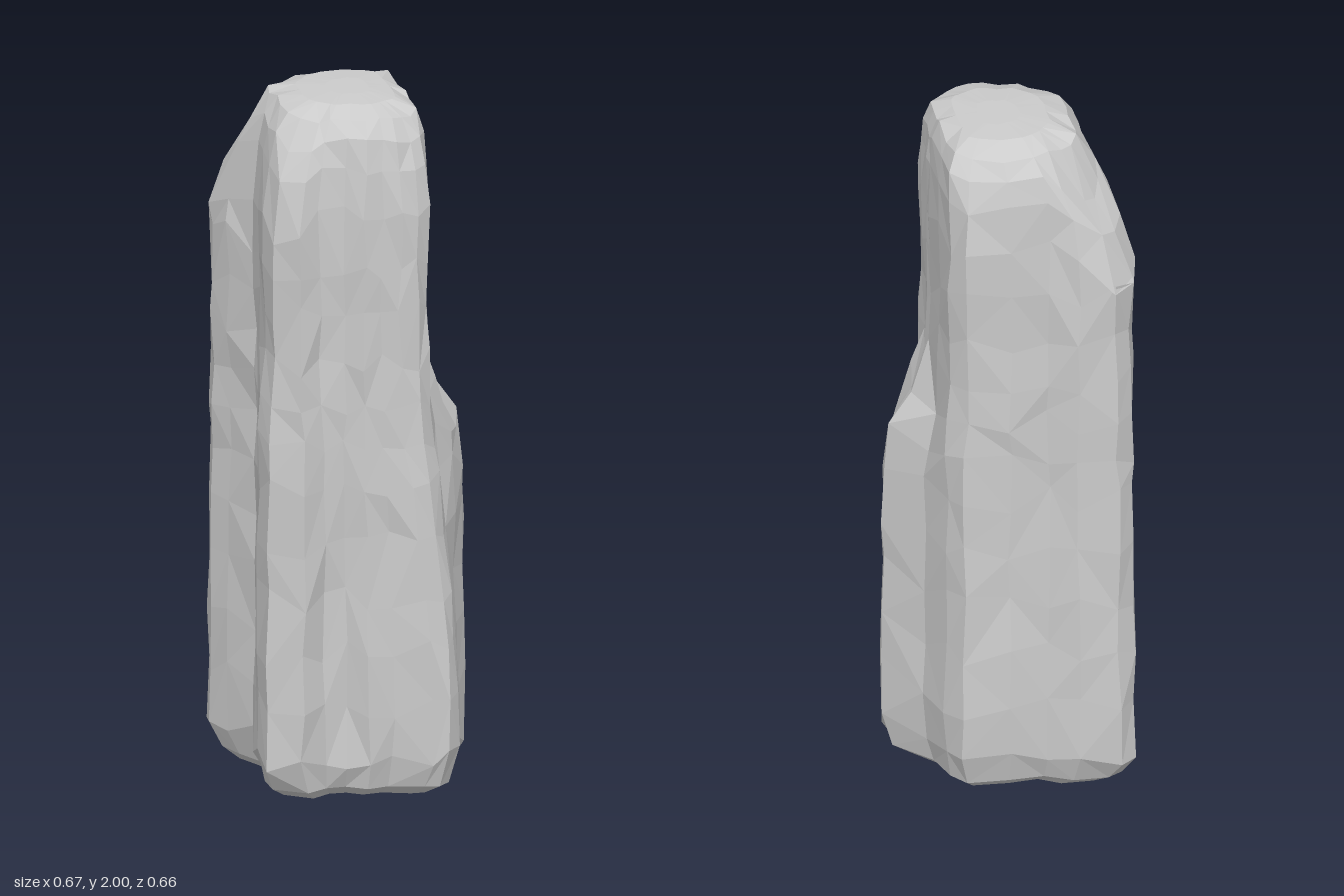
import * as THREE from 'three';

// Outline of the pillar, clockwise from above: [x, z] near the foot, [x, z] near the top
const OUTLINE = [
  [0.335, 0.02, 0.2, 0.02], [0.325, 0.06, 0.2, 0.06], [0.28, 0.15, 0.195, 0.12],
  [0.265, 0.24, 0.19, 0.19], [0.255, 0.29, 0.175, 0.25], [0.225, 0.325, 0.14, 0.28],
  [0.175, 0.32, 0.09, 0.285], [0.07, 0.285, 0.04, 0.28], [0, 0.295, -0.01, 0.285],
  [-0.06, 0.255, -0.06, 0.255], [-0.12, 0.26, -0.13, 0.245], [-0.19, 0.295, -0.19, 0.27],
  [-0.28, 0.235, -0.255, 0.22], [-0.285, 0.14, -0.265, 0.14], [-0.265, 0.05, -0.255, 0.05],
  [-0.25, -0.02, -0.25, -0.03], [-0.3, -0.13, -0.3, -0.13], [-0.335, -0.21, -0.33, -0.21],
  [-0.32, -0.29, -0.31, -0.28], [-0.27, -0.325, -0.26, -0.32], [-0.16, -0.32, -0.16, -0.315],
  [-0.08, -0.275, -0.08, -0.275], [0.03, -0.28, 0.03, -0.28], [0.16, -0.275, 0.15, -0.27],
  [0.2, -0.21, 0.19, -0.21], [0.235, -0.1, 0.195, -0.1],
];

// Rings from foot to crown: [height, scale, how far the outline is rounded off]
const RINGS = [
  [0.01, 0.76, 0], [0.04, 0.9, 0], [0.12, 1, 0], [0.28, 1, 0], [0.44, 0.99, 0], [0.6, 0.98, 0],
  [0.76, 0.98, 0], [0.92, 0.98, 0], [1.04, 0.98, 0], [1.16, 0.98, 0], [1.28, 0.99, 0],
  [1.42, 0.99, 0], [1.56, 1, 0], [1.7, 1, 0], [1.84, 0.97, 0.25], [1.92, 0.92, 0.6],
  [1.97, 0.8, 0.9], [1.995, 0.55, 1], [2, 0.25, 1],
];

function seeded(seed) {
  return () => {
    seed = (seed * 16807) % 2147483647;
    return seed / 2147483647 - 0.5;
  };
}

function pillarGeometry() {
  const { lerp, smoothstep } = THREE.MathUtils;
  const rand = seeded(4217);
  const n = OUTLINE.length;
  const positions = [];
  const index = [];

  RINGS.forEach(([y, scale, round]) => {
    const body = y > 0.1 && y < 1.8;
    OUTLINE.forEach(([x0, z0, x1, z1], j) => {
      // the side ridge ends in a shoulder; the front corner tapers gradually
      const frontCorner = j >= 3 && j <= 8;
      const t = frontCorner ? smoothstep(y, 0.25, 1.4) : smoothstep(y, 0.95, 1.32);
      let x = lerp(x0, x1, t);
      let z = lerp(z0, z1, t);
      const r = Math.hypot(x, z);
      const k = scale * lerp(1, Math.min(1, 0.28 / r), round);
      // prominent corners slump a little at the crown
      const drop = y > 1.65 && y < 1.95 ? Math.max(0, r - 0.3) * 0.9 : 0;
      const rough = body ? 0.014 : 0.008;
      x = x * k + round * 0.015 + rand() * rough;
      z = z * k + rand() * rough;
      const lift = body ? rand() * 0.075 : y > 1.8 && y < 1.98 ? rand() * 0.022 : 0;
      positions.push(x, y - drop + lift, z);
    });
  });

  // Side facets with mixed diagonals
  for (let i = 0; i < RINGS.length - 1; i++) {
    for (let j = 0; j < n; j++) {
      const a = i * n + j;
      const b = i * n + ((j + 1) % n);
      const c = b + n;
      const d = a + n;
      if (rand() > 0) index.push(a, d, b, b, d, c);
      else index.push(a, d, c, a, c, b);
    }
  }

  // Close the foot and the crown
  const foot = positions.length / 3;
  positions.push(0, 0, 0, 0.015, 2, 0);
  const last = (RINGS.length - 1) * n;
  for (let j = 0; j < n; j++) {
    const next = (j + 1) % n;
    index.push(foot, j, next, foot + 1, last + next, last + j);
  }

  const geometry = new THREE.BufferGeometry();
  geometry.setAttribute('position', new THREE.Float32BufferAttribute(positions, 3));
  geometry.setIndex(index);
  geometry.computeVertexNormals();
  return geometry;
}

export function createModel() {
  const model = new THREE.Group();
  model.name = 'rockPillar';
  const stone = new THREE.MeshStandardMaterial({ color: 0xcccccc, flatShading: true });
  const pillar = new THREE.Mesh(pillarGeometry(), stone);
  pillar.name = 'stoneColumn';
  model.add(pillar);
  return model;
}
